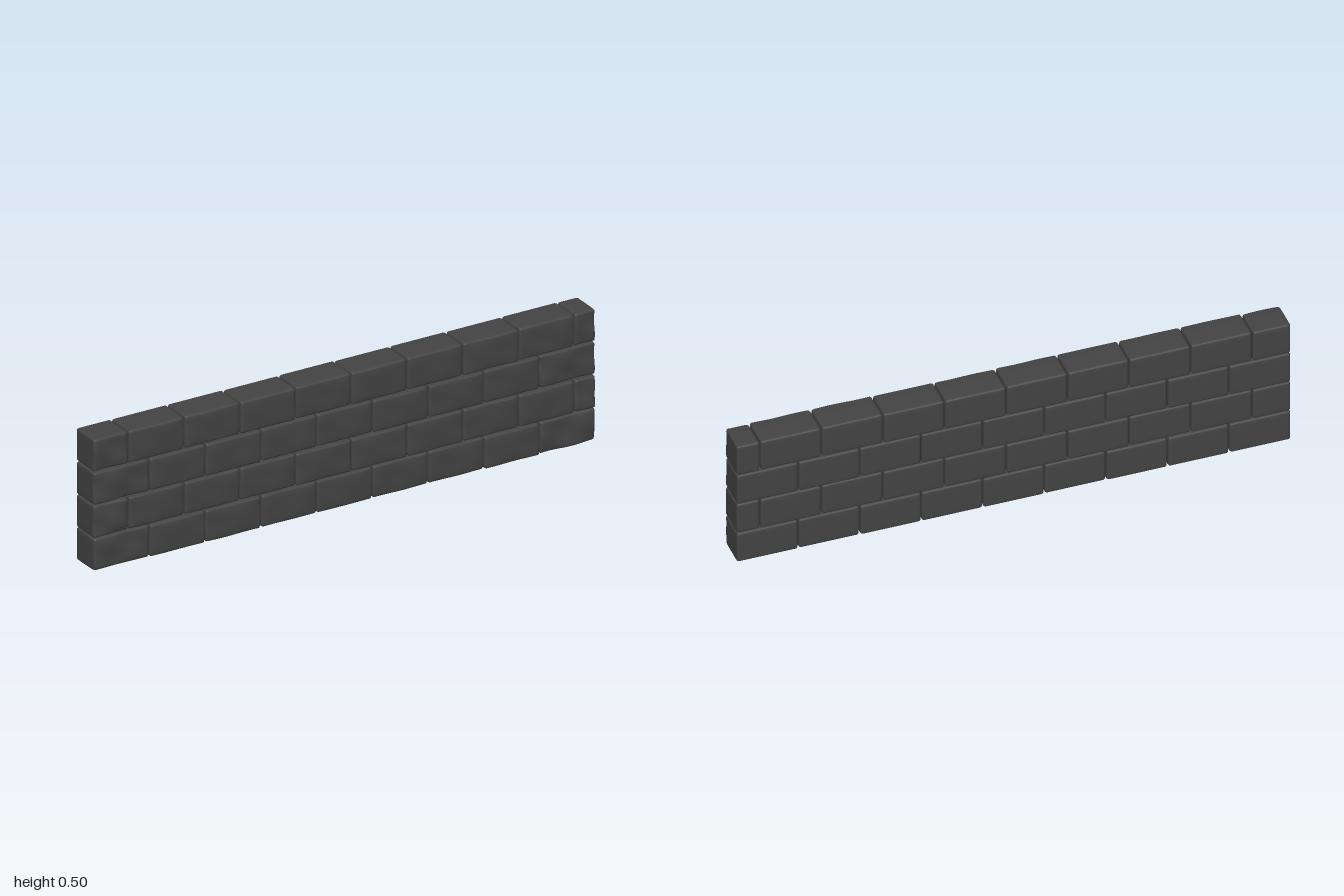
import * as THREE from 'three';
import { mergeVertices } from 'three/addons/utils/BufferGeometryUtils.js';

const ROW_HEIGHT = 0.124;
const BRICK = 0.2222;
const DEPTH = 0.122;

// Small seeded generator for the hand-cut irregularities
function seeded(seed) {
  let s = seed;
  return () => (s = (s * 16807) % 2147483647) / 2147483647;
}

// Places grid lines so two fall inside each rounded edge and the rest spread over the face
function spread(t, half, r, segments) {
  const i = Math.round((t + 0.5) * segments);
  const m = Math.min(i, segments - i);
  const sign = i * 2 < segments ? -1 : 1;
  if (m < 3) return sign * (half - [0, 0.45, 1][m] * r);
  return (half - r) * (-1 + (2 * (i - 2)) / (segments - 4));
}

// Rounded brick whose front face is gently worn; wear sets how deep
function brickGeometry(w, h, d, wear, phase) {
  const seg = [16, 10, 8];
  const half = [w / 2, h / 2, d / 2];
  const r = 0.009;
  const geo = new THREE.BoxGeometry(1, 1, 1, ...seg);
  const pos = geo.attributes.position;
  const p = new THREE.Vector3();
  const inner = new THREE.Vector3();
  for (let i = 0; i < pos.count; i++) {
    p.fromBufferAttribute(pos, i);
    p.set(...[p.x, p.y, p.z].map((t, k) => spread(t, half[k], r, seg[k])));
    // Round the edges and corners
    inner.set(...[p.x, p.y, p.z].map((t, k) => THREE.MathUtils.clamp(t, r - half[k], half[k] - r)));
    p.sub(inner).setLength(r).add(inner);
    // Wear the front: shallow waves plus a softer, wider edge
    const front = THREE.MathUtils.smoothstep(p.z, 0.01, half[2] - r);
    const wave = Math.sin(p.x * 34 + p.y * 22 + phase) * Math.sin(p.y * 48 + phase * 2);
    const edge = Math.max(Math.abs(p.x) / half[0], Math.abs(p.y) / half[1]);
    p.z -= front * (wear * (0.5 + 0.5 * wave) + 0.003 * edge ** 6);
    p.y *= 1 - front * 0.02 * edge ** 4;
    pos.setXYZ(i, p.x, p.y, p.z);
  }
  geo.deleteAttribute('normal');
  geo.deleteAttribute('uv');
  const smooth = mergeVertices(geo, 1e-5);
  smooth.computeVertexNormals();
  return smooth;
}

export function createModel() {
  const wall = new THREE.Group();
  wall.name = 'brickWall';
  const stone = new THREE.MeshStandardMaterial({ color: 0x444444 });
  stone.name = 'charcoalStone';
  const random = seeded(417);

  // Four courses; every other one starts with a part brick
  for (let row = 0; row < 4; row++) {
    const course = new THREE.Group();
    course.name = `course${row + 1}`;
    const joints = [-1];
    for (let x = row % 2 ? -0.862 : -1 + BRICK; x < 0.98; x += BRICK) joints.push(x);
    joints.push(1);

    for (let i = 0; i < joints.length - 1; i++) {
      const [a, b] = [joints[i], joints[i + 1]];
      const isEnd = a === -1 || b === 1;
      const left = a === -1 ? a : a + 0.002;
      const right = b === 1 ? b : b - 0.002;
      const wear = isEnd ? 0.008 : 0.003;
      const geo = brickGeometry(right - left, ROW_HEIGHT - 0.002, DEPTH, wear, random() * 6.28);
      const brick = new THREE.Mesh(geo, stone);
      brick.name = `brick${row + 1}_${i + 1}`;
      const lift = (random() - 0.5) * 0.002;
      brick.position.set((left + right) / 2, 0.002 + ROW_HEIGHT * (row + 0.5) + lift, (random() - 0.5) * 0.003);
      course.add(brick);
    }
    wall.add(course);
  }
  return wall;
}
